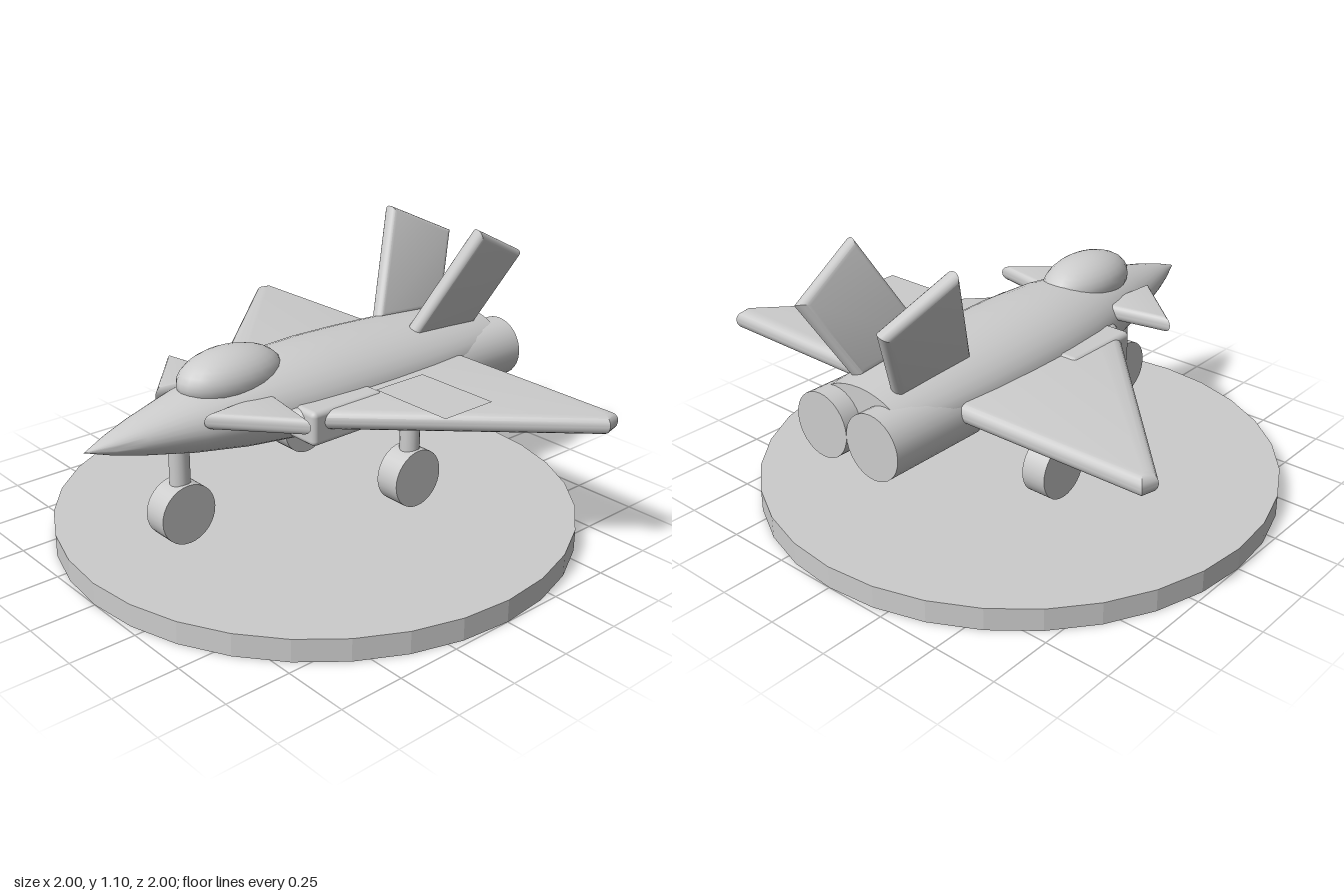
import * as THREE from 'three';
import { toCreasedNormals } from 'three/addons/utils/BufferGeometryUtils.js';
import { RoundedBoxGeometry } from 'three/addons/geometries/RoundedBoxGeometry.js';

const grey = new THREE.MeshStandardMaterial({ color: 0xcccccc });
grey.name = 'light grey';
const greyPanel = new THREE.MeshStandardMaterial({ color: 0xcccccc, side: THREE.DoubleSide });
greyPanel.name = 'light grey panel';

export function createModel() {
  const model = new THREE.Group();
  model.name = 'jetOnStand';

  const add = (name, geometry, x = 0, y = 0, z = 0, material = grey) => {
    const mesh = new THREE.Mesh(geometry, material);
    mesh.name = name;
    mesh.position.set(x, y, z);
    model.add(mesh);
    return mesh;
  };

  // Plate with rounded rim, centred on its thickness; the rim grows outward by bevel
  const plate = (points, thickness, bevel) => {
    const shape = new THREE.Shape(points.map(([a, b]) => new THREE.Vector2(a, b)));
    const depth = thickness - 2 * bevel;
    const g = new THREE.ExtrudeGeometry(shape, {
      depth, bevelEnabled: true, bevelThickness: bevel, bevelSize: bevel, bevelSegments: 4,
    });
    g.translate(0, 0, -depth / 2);
    return toCreasedNormals(g, 0.6);
  };

  // Round display stand
  add('stand', toCreasedNormals(new THREE.CylinderGeometry(1, 1, 0.086, 32), 0.1), 0, 0.043, 0);

  // Fuselage: half widths along z, flattened more toward the tail
  const profile = [
    [0, -0.81], [0.2, -0.81], [0.225, -0.6], [0.24, -0.4], [0.246, -0.2], [0.245, 0], [0.23, 0.2],
    [0.195, 0.4], [0.145, 0.6], [0.082, 0.8], [0.045, 0.9], [0, 1],
  ].map(([r, z]) => new THREE.Vector2(r, z));
  const body = new THREE.LatheGeometry(profile, 32);
  body.rotateX(Math.PI / 2);
  const p = body.attributes.position;
  for (let i = 0; i < p.count; i++) p.setY(i, p.getY(i) * (0.67 + 0.13 * p.getZ(i)));
  add('fuselage', toCreasedNormals(body, 0.7), 0, 0.577, 0);

  // Canopy
  const canopy = new THREE.SphereGeometry(1, 24, 16);
  canopy.scale(0.13, 0.105, 0.215);
  add('canopy', canopy, 0, 0.7, 0.395);

  for (const s of [1, -1]) {
    const side = s > 0 ? 'left' : 'right';

    // Delta wing
    const wing = plate([[0.1, -0.54], [0.94, -0.53], [0.945, -0.51], [0.2, 0.285], [0.1, 0.3]]
      .map(([x, z]) => [x * s, z]), 0.075, 0.035);
    wing.rotateX(Math.PI / 2);
    add(side + 'Wing', wing, 0, 0.568, 0);

    // Canard foreplane
    const canard = plate([[0.14, 0.342], [0.38, 0.385], [0.16, 0.58]]
      .map(([x, z]) => [x * s, z]), 0.06, 0.027);
    canard.rotateX(Math.PI / 2);
    add(side + 'Canard', canard, 0, 0.626, 0);

    // Air intake
    add(side + 'Intake', new RoundedBoxGeometry(0.16, 0.13, 0.33, 3, 0.02), s * 0.23, 0.547, 0.105);

    // Tail fin, leaning outward
    const fin = plate([[-0.43, 0], [-0.61, 0.37], [-0.855, 0.245], [-0.725, -0.02]], 0.06, 0.027);
    fin.rotateY(-Math.PI / 2);
    fin.rotateZ(-s * 0.35);
    add(side + 'TailFin', fin, s * 0.105, 0.715, 0);

    // Engine
    const engine = new THREE.CylinderGeometry(0.12, 0.12, 0.42, 32);
    engine.rotateX(Math.PI / 2);
    add(side + 'Engine', engine, s * 0.12, 0.538, -0.67);
  }

  // Landing gear: one nose leg and two main legs
  for (const [name, x, z] of [['nose', 0, 0.625], ['leftMain', 0.32, -0.19], ['rightMain', -0.32, -0.19]]) {
    const wheel = new THREE.CylinderGeometry(0.113, 0.113, 0.1, 32);
    wheel.rotateZ(Math.PI / 2);
    add(name + 'Wheel', wheel, x, 0.242, z);
    add(name + 'Strut', new THREE.CylinderGeometry(0.038, 0.038, 0.2, 16), x, 0.38, z);
  }

  // Thin marking panel above the left wing
  const panel = new THREE.PlaneGeometry(0.34, 0.23);
  panel.rotateX(-Math.PI / 2);
  add('wingPanel', panel, 0.523, 0.65, -0.097, greyPanel);

  return model;
}
